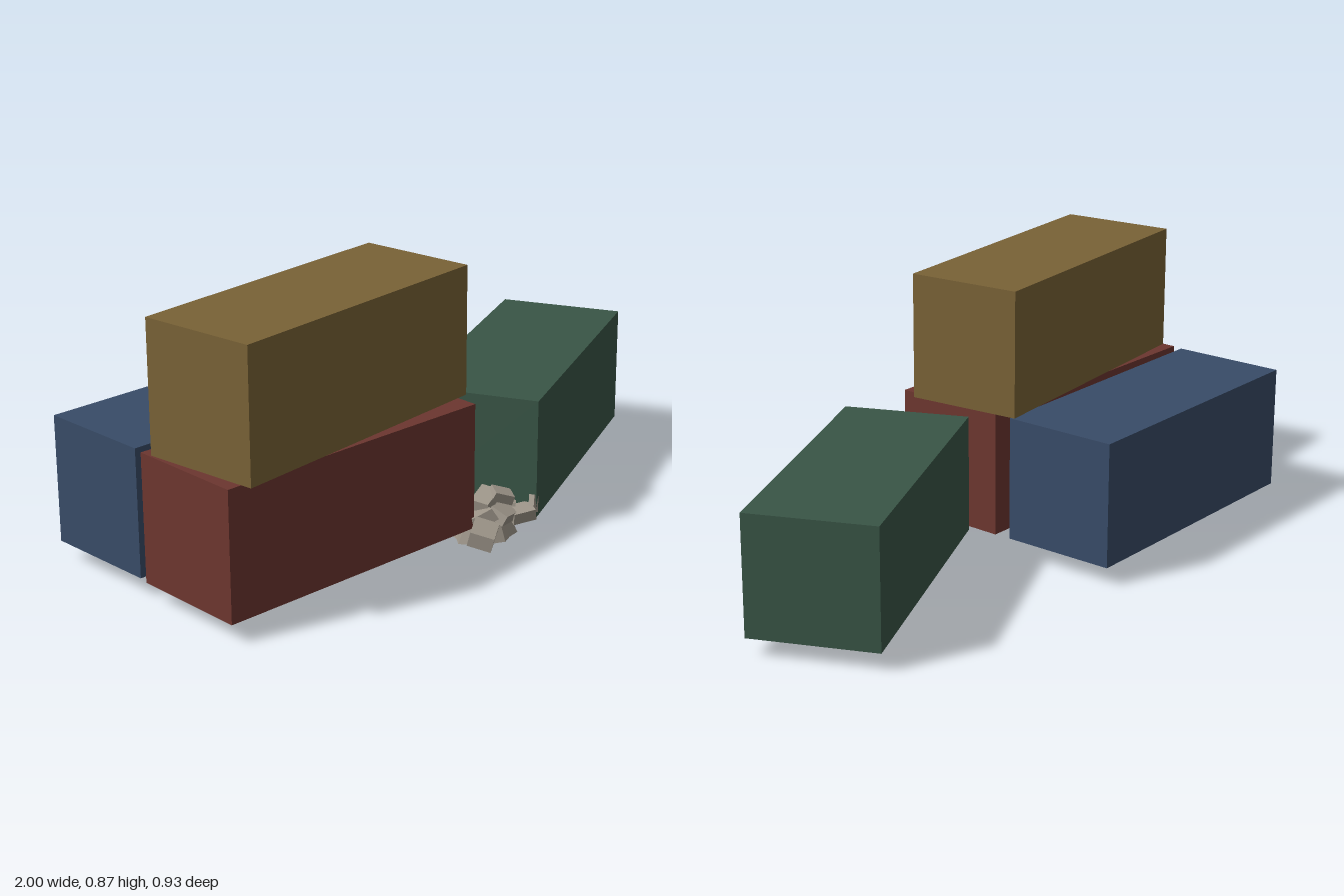
import * as THREE from 'three';

const mat = (name, color, side = THREE.FrontSide) => {
  const m = new THREE.MeshStandardMaterial({ color, side });
  m.name = name;
  return m;
};

// Box without its bottom face
function openBox(w, h, d) {
  const g = new THREE.BoxGeometry(w, h, d);
  const index = Array.from(g.index.array);
  index.splice(18, 6); // bottom is the fourth face
  g.setIndex(index);
  return g;
}

export function createModel() {
  const model = new THREE.Group();
  model.name = 'containerStack';

  const red = mat('rust red', 0x6c362f, THREE.DoubleSide);
  const blue = mat('dull blue', 0x384b67, THREE.DoubleSide);
  const ochre = mat('ochre', 0x796236);
  const green = mat('dark green', 0x395546);
  const stone = mat('stone grey', 0x9c9488);
  stone.flatShading = true;

  // Shipping containers: [name, material, size, centre, turn, open underneath]
  const containers = [
    ['redContainer', red, [0.95, 0.4, 0.38], [-0.523, 0.26, 0.158], 0, true],
    ['blueContainer', blue, [0.94, 0.4, 0.378], [-0.525, 0.26, -0.266], 0.021, true],
    ['ochreContainer', ochre, [0.945, 0.405, 0.378], [-0.502, 0.6635, 0.142], 0.119, false],
    ['greenContainer', green, [0.945, 0.38, 0.403], [0.485, 0.248, 0.037], 0.45, false],
  ];
  for (const [name, material, size, centre, turn, open] of containers) {
    const g = open ? openBox(...size) : new THREE.BoxGeometry(...size);
    const mesh = new THREE.Mesh(g, material);
    mesh.name = name;
    mesh.position.set(...centre);
    mesh.rotation.y = turn;
    model.add(mesh);
  }

  // Rubble heap at the corner of the containers
  const rubble = new THREE.Group();
  rubble.name = 'rubble';
  model.add(rubble);

  // Ridged, tapering core
  const core = new THREE.CylinderGeometry(0.06, 0.1, 0.09, 16);
  const p = core.attributes.position;
  for (let i = 0; i < p.count; i++) {
    const a = Math.atan2(p.getZ(i), p.getX(i));
    const k = 1 + 0.07 * Math.cos(a * 8);
    p.setXYZ(i, p.getX(i) * k * 1.08, p.getY(i), p.getZ(i) * k * 0.82);
  }
  const coreMesh = new THREE.Mesh(core, stone);
  coreMesh.name = 'rubbleCore';
  coreMesh.position.set(0.045, 0.045, 0.305);
  rubble.add(coreMesh);

  // Broken slabs: [size, centre, rotation]
  const slabs = [
    [[0.1, 0.045, 0.075], [-0.065, 0.065, 0.405], [0.3, 0.6, 0.1]],
    [[0.08, 0.04, 0.06], [-0.015, 0.085, 0.35], [-0.2, -0.5, 0.3]],
    [[0.08, 0.035, 0.06], [0.045, 0.09, 0.38], [0.4, 0.2, -0.2]],
    [[0.075, 0.04, 0.05], [0.11, 0.08, 0.4], [0.3, -0.4, 0.25]],
    [[0.035, 0.055, 0.018], [0.145, 0.105, 0.414], [-0.1, 0.3, -0.25]],
    [[0.08, 0.035, 0.06], [0.1, 0.095, 0.34], [0.2, 0.7, -0.2]],
    [[0.09, 0.035, 0.06], [0.03, 0.125, 0.32], [0.1, 0.3, 0.3]],
    [[0.07, 0.03, 0.05], [0.07, 0.135, 0.35], [0.2, -0.5, -0.25]],
    [[0.07, 0.04, 0.055], [0.01, 0.07, 0.27], [-0.4, 0.5, 0.2]],
    [[0.06, 0.04, 0.06], [0.005, 0.055, 0.215], [-0.3, 0.4, 0.2]],
    [[0.08, 0.035, 0.06], [0.07, 0.045, 0.225], [-0.35, -0.3, 0.1]],
    [[0.07, 0.04, 0.06], [0.125, 0.05, 0.29], [0.1, 0.6, -0.3]],
    [[0.03, 0.07, 0.025], [-0.01, 0.11, 0.24], [0.2, 0.5, 0.35]],
  ];
  slabs.forEach(([size, centre, rot], i) => {
    const g = new THREE.BoxGeometry(...size);
    // Chip each slab by narrowing its upper side
    const v = g.attributes.position;
    for (let j = 0; j < v.count; j++) {
      if (v.getY(j) > 0) v.setX(j, v.getX(j) * (0.8 + 0.04 * (i % 4)));
    }
    g.computeVertexNormals();
    const mesh = new THREE.Mesh(g, stone);
    mesh.name = 'rubbleSlab';
    mesh.position.set(...centre);
    mesh.rotation.set(...rot);
    rubble.add(mesh);
  });

  return model;
}
